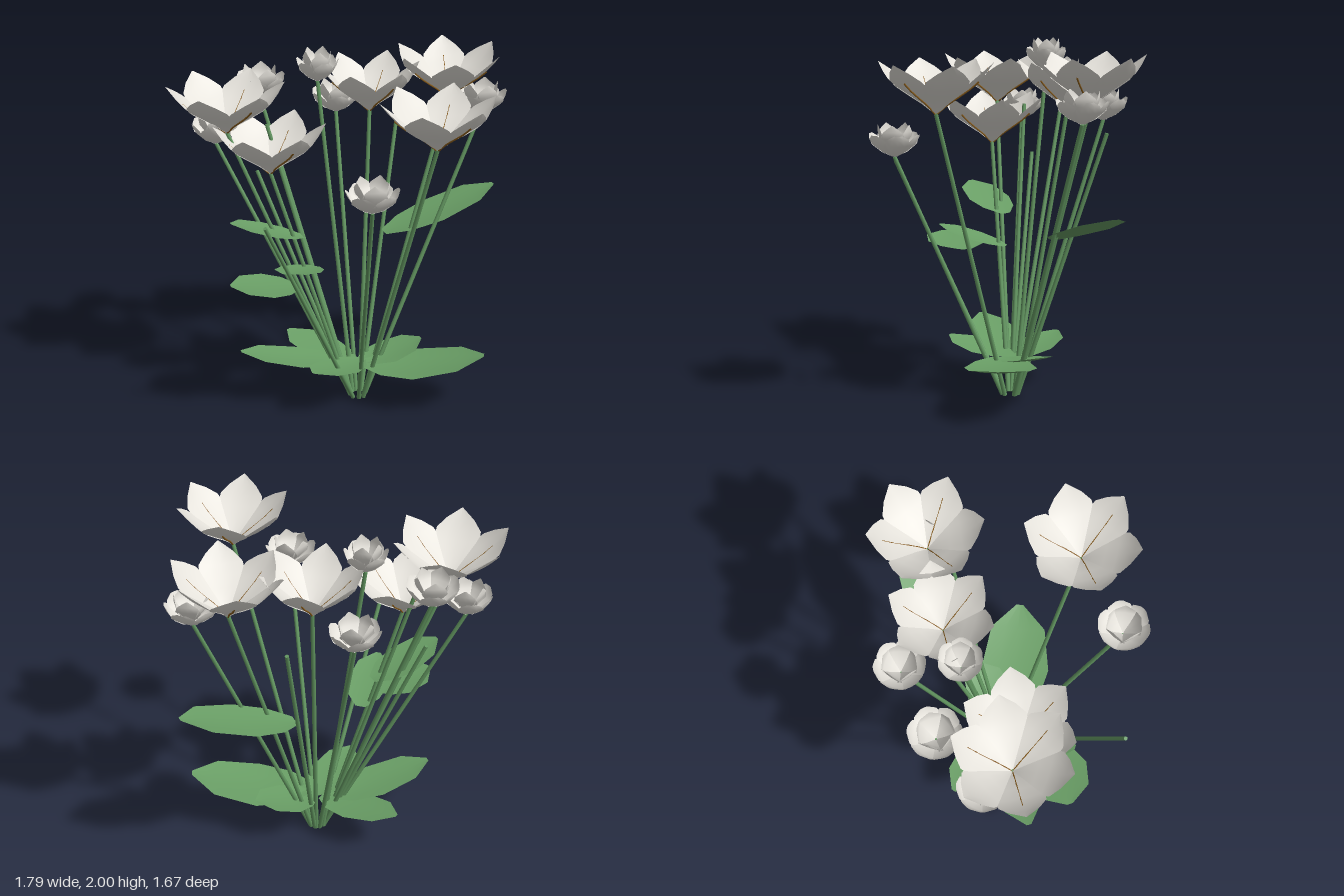
import * as THREE from 'three';

const mat = (name, color) => {
  const m = new THREE.MeshStandardMaterial({ color, side: THREE.DoubleSide });
  m.name = name;
  return m;
};

// Blade surface from rows [out, up, halfWidth]; cup pulls the side edges inward, lift raises them
function blade(rows, cup = 0, lift = 0) {
  const cols = [-1, -0.5, 0, 0.5, 1], pos = [], idx = [], n = cols.length;
  rows.forEach(([out, up, w], i) => {
    for (const u of cols) pos.push(u * w, up + lift * u * u * w, out - cup * u * u * w);
    if (i) for (let j = 0; j < n - 1; j++) {
      const a = (i - 1) * n + j, b = i * n + j;
      idx.push(a, a + 1, b, a + 1, b + 1, b);
    }
  });
  const g = new THREE.BufferGeometry();
  g.setAttribute('position', new THREE.Float32BufferAttribute(pos, 3));
  g.setIndex(idx);
  g.computeVertexNormals();
  return g;
}

export function createModel() {
  const model = new THREE.Group();
  model.name = 'flowerBouquet';
  const petalMat = mat('ivory petal', 0xe6e3dc);
  const leafMat = mat('leaf green', 0x6a9f66);
  const stemMat = mat('stem green', 0x629660);
  const ribMat = mat('brown rib', 0x8a5e1e);

  const add = (parent, name, geometry, material) => {
    const m = new THREE.Mesh(geometry, material);
    m.name = name;
    parent.add(m);
    return m;
  };

  // Straight stems fanning out of a small ring at the foot
  const stem = (tip) => {
    const end = new THREE.Vector3(...tip);
    const out = new THREE.Vector3(end.x + 0.035, 0, end.z + 0.08).normalize();
    const start = new THREE.Vector3(-0.035, 0.005, -0.08).addScaledVector(out, 0.045);
    const dir = end.clone().sub(start);
    const m = add(model, 'stem', new THREE.CylinderGeometry(0.011, 0.013, dir.length(), 8), stemMat);
    m.position.copy(start).addScaledVector(dir, 0.5);
    m.quaternion.setFromUnitVectors(new THREE.Vector3(0, 1, 0), dir.normalize());
  };

  // Open flower: six wide pointed petals forming a bowl
  const petalRows = [[0.004, 0, 0.012], [0.06, 0.05, 0.052], [0.12, 0.092, 0.09],
    [0.18, 0.135, 0.118], [0.225, 0.175, 0.115], [0.265, 0.22, 0.072], [0.305, 0.272, 0.002]];
  const openPetal = blade(petalRows, 0.05, 0.1);
  // Thin rib under every second petal
  const ribCurve = new THREE.CatmullRomCurve3(
    petalRows.slice(0, 5).map(([r, h]) => new THREE.Vector3(0, h - 0.003, r + 0.002)));
  const ribGeo = new THREE.TubeGeometry(ribCurve, 8, 0.005, 5);

  // Half-open bud: spread outer petals around upright inner ones
  const outerPetal = blade([[0.005, 0, 0.015], [0.06, 0.025, 0.05], [0.11, 0.065, 0.075],
    [0.132, 0.1, 0.06], [0.142, 0.125, 0.022]], 0.15, 0.08);
  const innerPetal = blade([[0.005, 0.015, 0.01], [0.045, 0.055, 0.04], [0.08, 0.105, 0.068],
    [0.088, 0.14, 0.052], [0.09, 0.178, 0.004]], 0.12);

  const ring = (group, name, geo, material, count, phase) => {
    for (let i = 0; i < count; i++)
      add(group, name, geo, material).rotation.y = phase + (i * Math.PI * 2) / count;
  };
  const head = (name, tip, s) => {
    const g = new THREE.Group();
    g.name = name;
    g.position.set(...tip);
    g.scale.set(s, 1, s);
    model.add(g);
    stem(tip);
    return g;
  };

  // Position, turn and spread of each flower
  for (const [x, y, z, turn, s] of [[-0.61, 1.6, -0.49, 0.05, 1.05], [-0.45, 1.385, -0.31, 0, 1],
    [0.2, 1.625, -0.29, 0.05, 0.92], [0.59, 1.685, -0.08, 0.5, 1], [0.05, 1.65, 0.52, 0.12, 1.02]]) {
    const g = head('openFlower', [x, y, z], s);
    ring(g, 'petal', openPetal, petalMat, 6, turn);
    ring(g, 'petalRib', ribGeo, ribMat, 3, turn);
  }
  // Position and spread of each bud
  for (const [x, y, z, s] of [[-0.26, 1.685, -0.7, 1], [0.18, 1.545, -0.59, 0.97],
    [-0.08, 1.82, -0.39, 0.82], [-0.345, 1.38, 0.49, 1], [0.7, 1.615, 0.08, 1],
    [-0.58, 1.485, -0.66, 0.95]]) {
    const g = head('bud', [x, y, z], s);
    ring(g, 'outerPetal', outerPetal, petalMat, 6, x * 3);
    ring(g, 'innerPetal', innerPetal, petalMat, 5, x * 5);
  }

  // Bare stems
  [[-0.78, 1.285, 0.145], [0.44, 1.51, -0.36], [-0.38, 1.31, -0.56], [-0.36, 1.6, -0.48]].forEach(stem);

  // Leaves given by root, tip, half width and sag
  const leaf = (root, tip, w, sag) => {
    const d = new THREE.Vector3(...tip).sub(new THREE.Vector3(...root));
    const len = Math.hypot(d.x, d.z);
    const rows = [[0, 0.25], [0.18, 0.75], [0.45, 1], [0.8, 0.8], [1, 0.1]]
      .map(([t, k]) => [t * len, t * d.y - sag * Math.sin(t * Math.PI) * len, k * w]);
    const m = add(model, 'leaf', blade(rows, 0, 0.08), leafMat);
    m.position.set(...root);
    m.rotation.y = Math.atan2(d.x, d.z);
  };
  // Low leaves
  leaf([-0.04, 0.225, -0.03], [0.46, 0.32, 0.45], 0.2, 0.06);
  leaf([-0.02, 0.22, -0.08], [0.34, 0.3, 0.02], 0.14, 0.06);
  leaf([-0.01, 0.225, -0.08], [-0.42, 0.3, 0.04], 0.13, 0.04);
  leaf([-0.08, 0.21, -0.15], [-0.63, 0.33, -0.38], 0.14, 0.03);
  leaf([-0.05, 0.205, -0.1], [-0.18, 0.27, -0.58], 0.13, 0.03);
  // High leaves
  leaf([0.23, 0.915, -0.19], [0.87, 1.13, 0], 0.165, 0.02);
  leaf([-0.28, 0.99, -0.26], [-0.69, 1.13, -0.35], 0.13, 0.02);
  leaf([-0.23, 0.81, -0.22], [-0.57, 0.92, -0.01], 0.12, 0.02);
  leaf([-0.43, 0.78, -0.09], [-0.78, 0.83, -0.22], 0.17, 0.02);

  return model;
}
